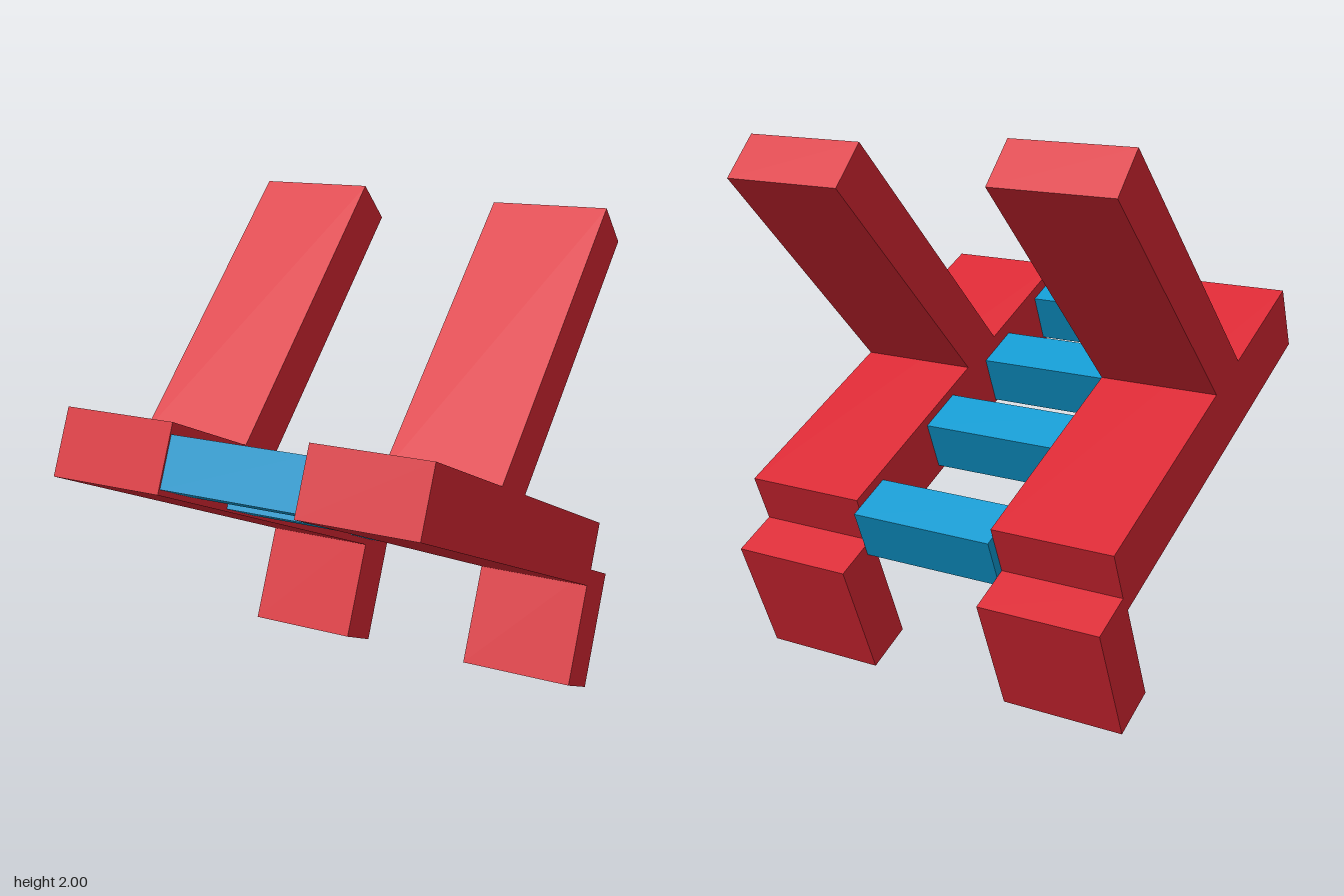
import * as THREE from 'three';

const RED = new THREE.MeshStandardMaterial({ color: 0xdc2834, flatShading: true });
const BLUE = new THREE.MeshStandardMaterial({ color: 0x0f9bd2, flatShading: true });
const TILT = -Math.atan2(0.6, 1.46); // slope of the seat frame
const BAR_WIDTH = 0.47;
const BAR_X = 0.515;

// Box leaning about the x axis
function bar(name, material, size, position, lean) {
  const mesh = new THREE.Mesh(new THREE.BoxGeometry(...size), material);
  mesh.name = name;
  mesh.position.set(...position);
  mesh.rotation.x = lean;
  return mesh;
}

export function createModel() {
  const model = new THREE.Group();
  model.name = 'chairFrame';

  // Two side frames: sloping rail, short rear leg, leaning back post
  for (const [side, sign] of [['left', 1], ['right', -1]]) {
    const frame = new THREE.Group();
    frame.name = `${side}Frame`;
    const x = sign * BAR_X;
    frame.add(bar('rail', RED, [BAR_WIDTH, 0.26, 1.58], [x, 0.87, 0.05], TILT));
    frame.add(bar('rearLeg', RED, [BAR_WIDTH, 0.475, 0.197], [x, 0.26, -0.645], TILT));
    // The right post sits slightly further forward than the left one
    const shift = sign < 0 ? 0.042 : 0;
    frame.add(bar('backPost', RED, [BAR_WIDTH, 1.273, 0.198],
      [x, 1.44 + shift, -0.27 + shift], -Math.PI / 4));
    model.add(frame);
  }

  // Cross slats between the rails, as [y, z]
  const slats = [[1.12, 0.6875], [0.945, 0.29], [0.79, -0.14], [0.59, -0.62]];
  slats.forEach(([y, z], i) => {
    model.add(bar(`seatSlat${i + 1}`, BLUE, [0.56, 0.197, 0.197], [0, y, z], TILT));
  });

  return model;
}
